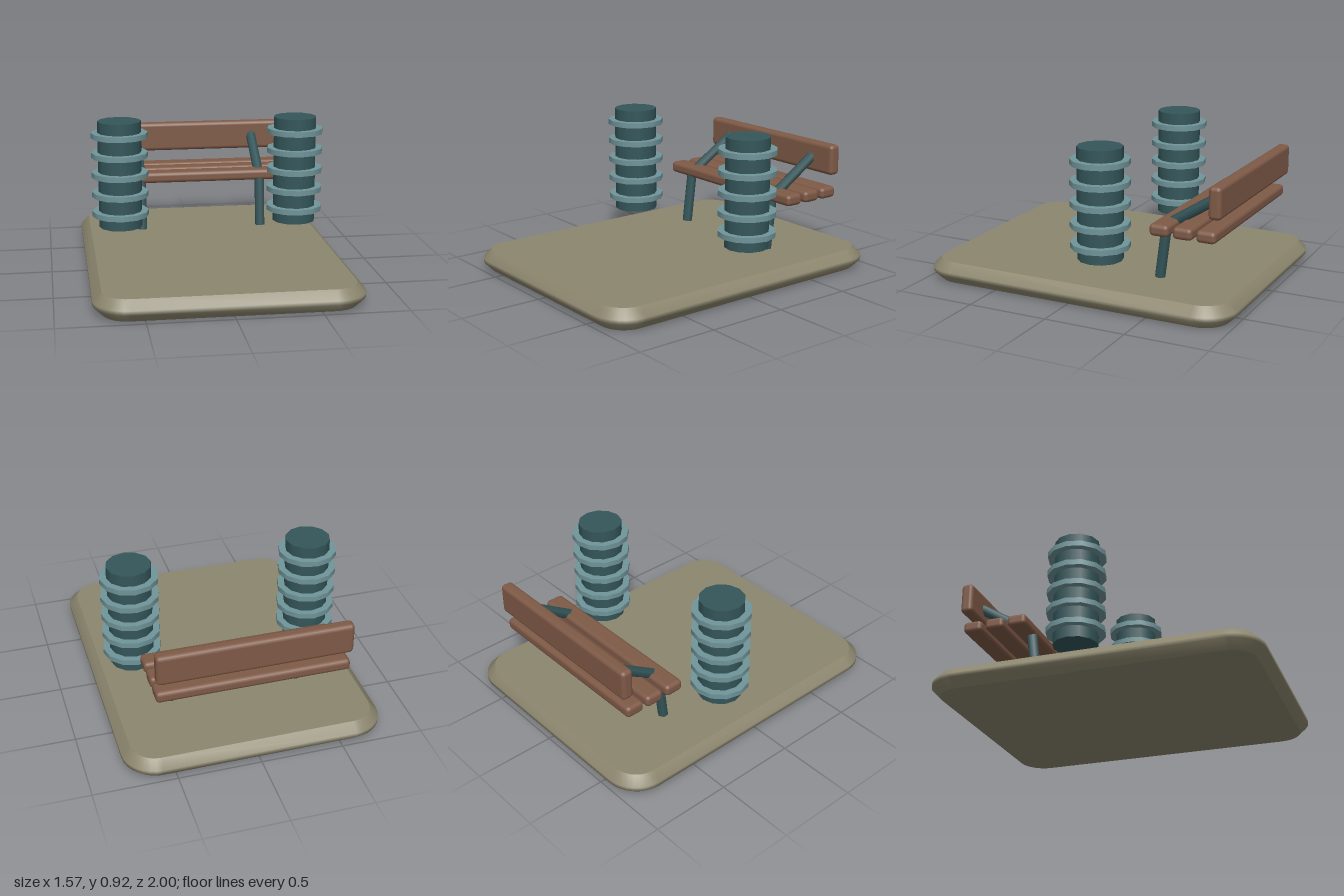
import * as THREE from 'three';
import { mergeVertices } from 'three/addons/utils/BufferGeometryUtils.js';
import { RoundedBoxGeometry } from 'three/addons/geometries/RoundedBoxGeometry.js';

const material = (name, color) => {
  const m = new THREE.MeshStandardMaterial({ color });
  m.name = name;
  return m;
};

function roundedRect(hx, hy, r) {
  const s = new THREE.Shape();
  s.moveTo(hx, -hy + r);
  s.lineTo(hx, hy - r);
  s.absarc(hx - r, hy - r, r, 0, Math.PI / 2);
  s.lineTo(-hx + r, hy);
  s.absarc(-hx + r, hy - r, r, Math.PI / 2, Math.PI);
  s.lineTo(-hx, -hy + r);
  s.absarc(-hx + r, -hy + r, r, Math.PI, Math.PI * 1.5);
  s.lineTo(hx - r, -hy);
  s.absarc(hx - r, -hy + r, r, Math.PI * 1.5, Math.PI * 2);
  return s;
}

// Slab with flat faces and a softly shaded bevelled rim
function slabGeometry() {
  const bevel = 0.052;
  const g = new THREE.ExtrudeGeometry(roundedRect(0.733, 0.948, 0.15), {
    depth: 0.13 - 2 * bevel, bevelEnabled: true, bevelThickness: bevel,
    bevelSize: bevel, bevelSegments: 1, curveSegments: 4,
  });
  g.translate(0, 0, bevel);
  g.rotateX(-Math.PI / 2);
  return g.groups.map(({ start, count }, i) => {
    const part = new THREE.BufferGeometry();
    const points = g.attributes.position.array.slice(start * 3, (start + count) * 3);
    part.setAttribute('position', new THREE.BufferAttribute(points, 3));
    const out = i === 0 ? part : mergeVertices(part, 1e-4);
    out.computeVertexNormals();
    return out;
  });
}

export function createModel() {
  const model = new THREE.Group();
  const stone = material('stone', 0x8c866e);
  const wood = material('wood', 0x7f5a47);
  const darkMetal = material('dark metal', 0x34565a);
  const paleMetal = material('pale metal', 0x70959a);

  const add = (parent, name, geometry, mat, x = 0, y = 0, z = 0) => {
    const mesh = new THREE.Mesh(geometry, mat);
    mesh.name = name;
    mesh.position.set(x, y, z);
    parent.add(mesh);
    return mesh;
  };

  // Six-sided bar between two points
  const bar = (parent, name, from, to) => {
    const a = new THREE.Vector3(...from), b = new THREE.Vector3(...to);
    const mesh = add(parent, name, new THREE.CylinderGeometry(0.033, 0.033, a.distanceTo(b), 6), darkMetal);
    mesh.position.copy(a).add(b).multiplyScalar(0.5);
    mesh.quaternion.setFromUnitVectors(new THREE.Vector3(0, 1, 0), b.sub(a).normalize());
  };

  // Base
  const base = new THREE.Group();
  base.name = 'base';
  model.add(base);
  const [faces, rim] = slabGeometry();
  add(base, 'baseFaces', faces, stone);
  add(base, 'baseRim', rim, stone);

  // Bench
  const bench = new THREE.Group();
  bench.name = 'bench';
  model.add(bench);
  for (const z of [-0.502, -0.647, -0.79]) {
    add(bench, 'seatSlat', new RoundedBoxGeometry(1.16, 0.072, 0.12, 2, 0.025), wood, 0, 0.47, z);
  }
  add(bench, 'backrest', new RoundedBoxGeometry(1.16, 0.192, 0.077, 2, 0.025), wood, 0, 0.672, -0.84);
  for (const x of [-0.395, 0.395]) {
    bar(bench, 'leg', [x, 0.13, -0.435], [x, 0.47, -0.477]);
    bar(bench, 'backSupport', [x, 0.47, -0.5], [x, 0.675, -0.82]);
  }

  // Ringed drums floating on either side
  for (const side of [-1, 1]) {
    const drum = new THREE.Group();
    drum.name = side > 0 ? 'leftDrum' : 'rightDrum';
    drum.position.set(side * 0.557, 0, -0.125);
    model.add(drum);
    add(drum, 'drumBody', new THREE.CylinderGeometry(0.136, 0.136, 0.675, 12), darkMetal, 0, 0.583, 0);
    for (let i = 0; i < 5; i++) {
      add(drum, 'drumRing', new THREE.CylinderGeometry(0.178, 0.178, 0.033, 12), paleMetal, 0, 0.333 + i * 0.125, 0);
    }
  }
  return model;
}
